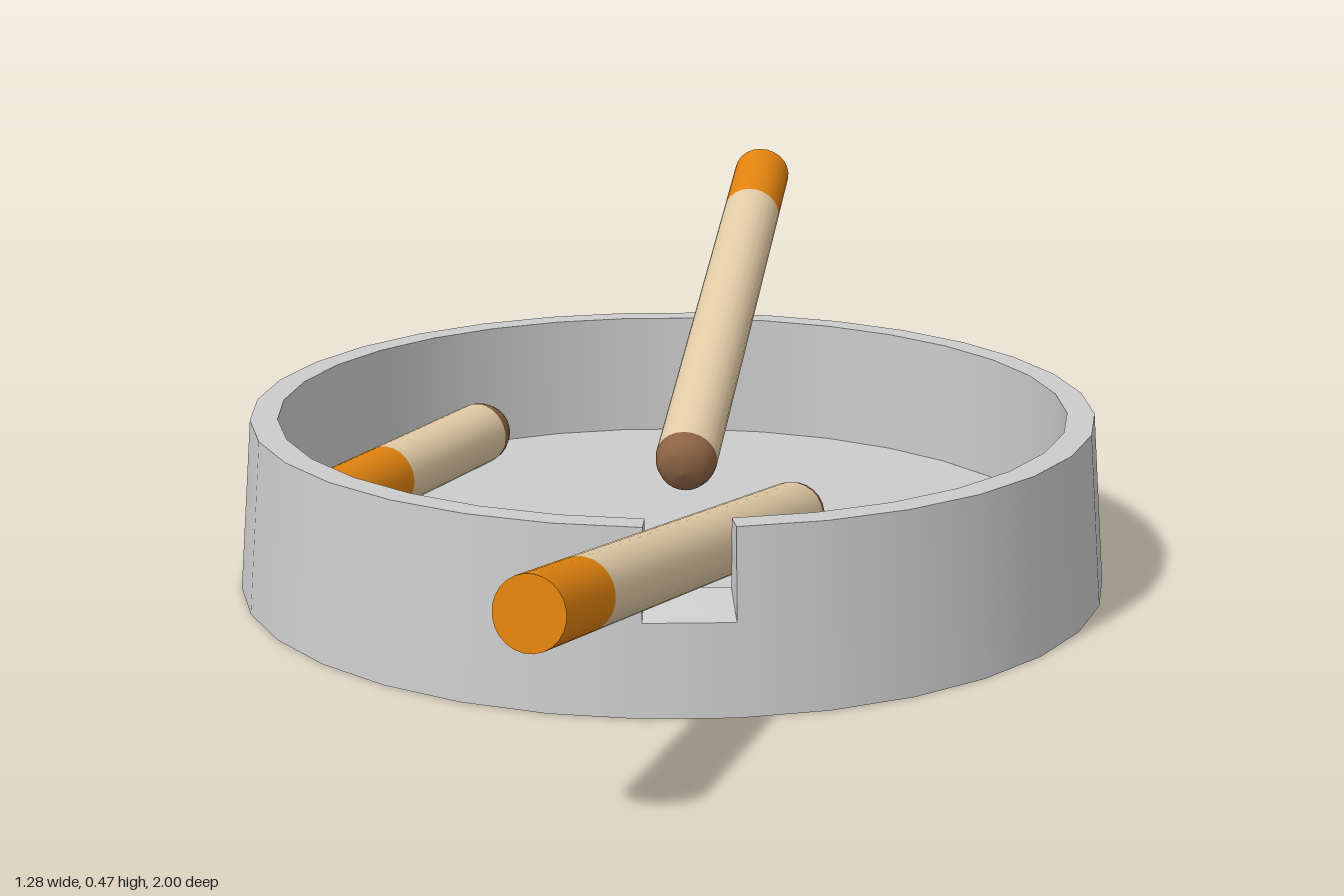
import * as THREE from 'three';

const SEGMENTS = 32;
const STEP = (Math.PI * 2) / SEGMENTS;
const NOTCH_START = STEP * 2; // the notch takes one segment of the wall
const RADIUS = 0.047;

const material = (color, side = THREE.FrontSide) =>
  new THREE.MeshStandardMaterial({ color, side });

function addMesh(parent, name, geometry, mat) {
  const mesh = new THREE.Mesh(geometry, mat);
  mesh.name = name;
  parent.add(mesh);
  return mesh;
}

// Shallow round tray with a slanted wall and one notch in the rim
function createTray() {
  const tray = new THREE.Group();
  tray.name = 'tray';
  const grey = material(0xcccccc);
  const v = (r, y) => new THREE.Vector2(r, y);

  // Each straight span is its own lathe, so profile edges stay sharp
  const revolve = (name, profile, start, count) => {
    for (let i = 0; i < profile.length - 1; i++) {
      const span = [profile[i], profile[i + 1]];
      addMesh(tray, name, new THREE.LatheGeometry(span, count, start, STEP * count), grey);
    }
  };
  const outerMid = v(0.63, 0.128), innerMid = v(0.58, 0.16);
  const outerTop = v(0.62, 0.255), innerTop = v(0.58, 0.255);
  const outerBase = v(0.64, 0), innerBase = v(0.58, 0.065);

  revolve('base', [v(0, 0), outerBase], 0, SEGMENTS);
  revolve('trayFloor', [innerBase, v(0, 0.065)], 0, SEGMENTS);
  revolve('wall', [outerBase, outerTop, innerTop, innerBase], NOTCH_START + STEP, SEGMENTS - 1);
  revolve('notchSill', [outerBase, outerMid, innerMid, innerBase], NOTCH_START, 1);

  // Side faces of the notch
  const cheek = new THREE.ShapeGeometry(new THREE.Shape([outerMid, outerTop, innerTop, innerMid]));
  const cheekMaterial = material(0xcccccc, THREE.DoubleSide);
  for (const angle of [NOTCH_START, NOTCH_START + STEP]) {
    addMesh(tray, 'notchSide', cheek, cheekMaterial).rotation.y = angle - Math.PI / 2;
  }
  tray.position.z = -0.05;
  return tray;
}

const filterMaterial = material(0xe0820f);
const paperMaterial = material(0xe2cba6);
const ashMaterial = material(0x8c6344);

// Cigarette running from its burnt tip to the flat end of its filter
function createCigarette(name, tip, end, filterLength) {
  const cigarette = new THREE.Group();
  cigarette.name = name;
  const from = new THREE.Vector3(...tip);
  const axis = new THREE.Vector3(...end).sub(from);
  const length = axis.length();
  const ashLength = 0.045;
  const filterStart = length - filterLength;

  const ashProfile = [[0, 0], [0.55, 0.004], [0.8, 0.014], [0.95, 0.03], [1, ashLength]]
    .map(([r, y]) => new THREE.Vector2(r * RADIUS, y));
  addMesh(cigarette, 'ash', new THREE.LatheGeometry(ashProfile, 24), ashMaterial);

  const tube = (part, start, stop, mat) => {
    const geometry = new THREE.CylinderGeometry(RADIUS, RADIUS, stop - start, 24);
    addMesh(cigarette, part, geometry, mat).position.y = (start + stop) / 2;
  };
  tube('paper', ashLength, filterStart, paperMaterial);
  tube('filter', filterStart, length, filterMaterial);

  cigarette.position.copy(from);
  cigarette.quaternion.setFromUnitVectors(new THREE.Vector3(0, 1, 0), axis.normalize());
  return cigarette;
}

export function createModel() {
  const model = new THREE.Group();
  model.name = 'ashtray';
  model.add(
    createTray(),
    createCigarette('backCigarette', [-0.003, 0.14, -0.09], [-0.283, 0.428, -0.985], 0.15),
    createCigarette('frontCigarette', [0.243, 0.146, 0.025], [0.326, 0.29, 0.99], 0.15),
    createCigarette('shortCigarette', [-0.355, 0.16, -0.14], [-0.355, 0.16, 0.34], 0.16),
  );
  return model;
}
